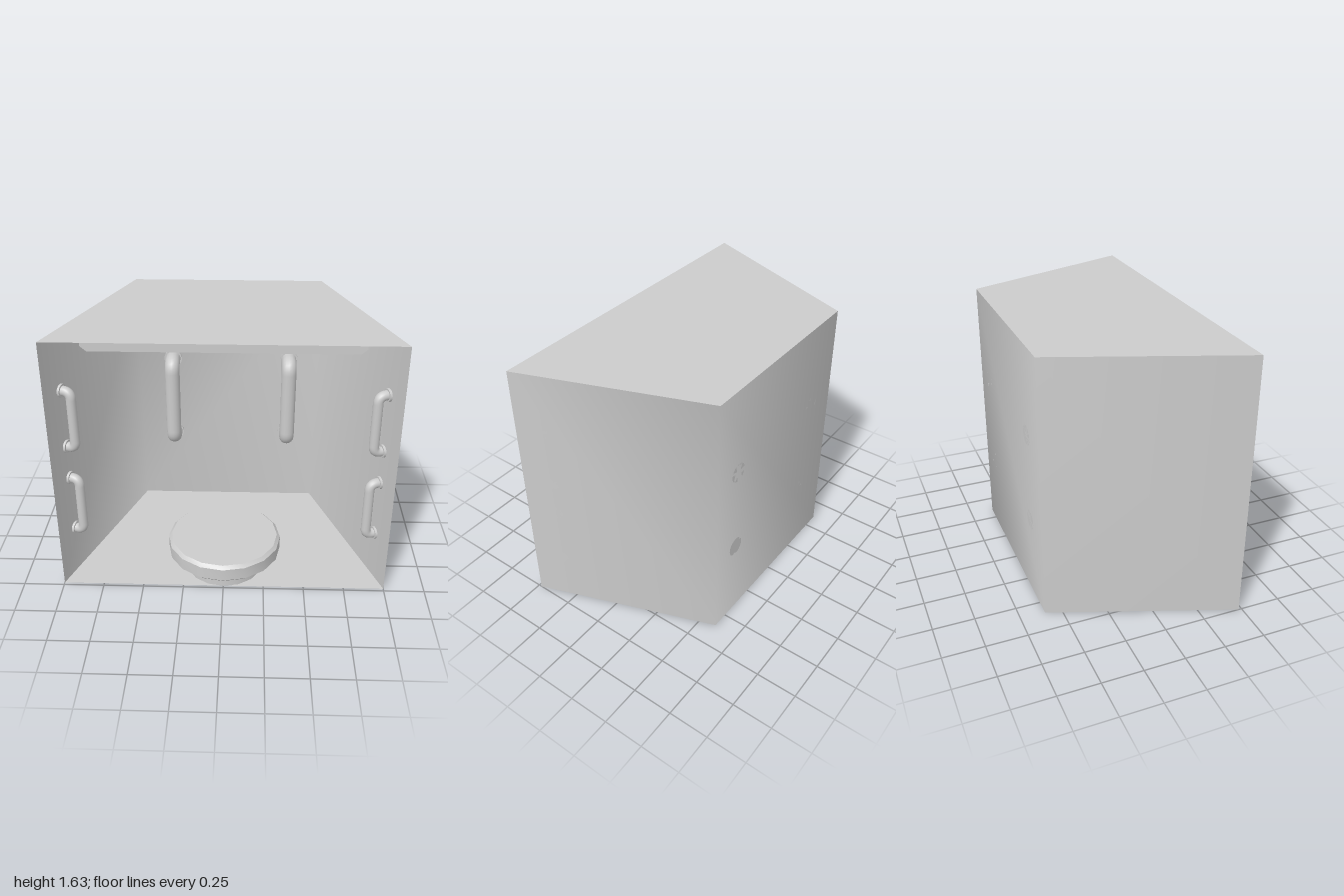
import * as THREE from 'three';
import { toCreasedNormals } from 'three/addons/utils/BufferGeometryUtils.js';

const H = 1.63, FRONT = 0.48, BACK = -0.6, WF = 1, WB = 0.6;
const grey = new THREE.MeshStandardMaterial({ color: 0xcccccc });
const thin = new THREE.MeshStandardMaterial({ color: 0xcccccc, side: THREE.DoubleSide });

function part(name, geometry, material = grey) {
  const mesh = new THREE.Mesh(geometry, material);
  mesh.name = name;
  return mesh;
}

// Plan corners from front left round the back to front right
const plan = [[WF, FRONT], [WB, BACK], [-WB, BACK], [-WF, FRONT]];

// Three walls as one smooth-shaded strip, open at the front
function wallGeometry() {
  const pos = [], idx = [];
  plan.forEach(([x, z], i) => {
    pos.push(x, 0, z, x, H, z);
    const a = i * 2;
    if (i < 3) idx.push(a, a + 2, a + 1, a + 1, a + 2, a + 3);
  });
  const g = new THREE.BufferGeometry();
  g.setAttribute('position', new THREE.Float32BufferAttribute(pos, 3));
  g.setIndex(idx);
  g.computeVertexNormals();
  return g;
}

// Flat sheet in the plan of the room; facing up
function slabGeometry() {
  const shape = new THREE.Shape(plan.map(([x, z]) => new THREE.Vector2(x, -z)));
  return new THREE.ShapeGeometry(shape).rotateX(-Math.PI / 2);
}

// Grab handle standing off a wall along +z, centred on its own origin
function handle(name, length, standoff, radius, flangeRadius, bend) {
  const group = new THREE.Group();
  group.name = name;
  const h = length / 2;
  const v = (y, z) => new THREE.Vector3(0, y, z);
  const path = new THREE.CurvePath();
  path.add(new THREE.LineCurve3(v(h, 0), v(h, standoff - bend)));
  path.add(new THREE.QuadraticBezierCurve3(v(h, standoff - bend), v(h, standoff), v(h - bend, standoff)));
  path.add(new THREE.LineCurve3(v(h - bend, standoff), v(bend - h, standoff)));
  path.add(new THREE.QuadraticBezierCurve3(v(bend - h, standoff), v(-h, standoff), v(-h, standoff - bend)));
  path.add(new THREE.LineCurve3(v(-h, standoff - bend), v(-h, 0)));
  group.add(part('handleBar', new THREE.TubeGeometry(path, 64, radius, 16)));
  for (const s of [-1, 1]) {
    const flange = part('handleFlange', new THREE.CylinderGeometry(flangeRadius, flangeRadius, 0.014, 20));
    flange.rotation.x = Math.PI / 2;
    flange.position.set(0, s * h, 0.007);
    group.add(flange);
  }
  return group;
}

function lathe(points) {
  const g = new THREE.LatheGeometry(points.map(([r, y]) => new THREE.Vector2(r, y)), 16);
  return toCreasedNormals(g, 0.5);
}

export function createModel() {
  const model = new THREE.Group();
  model.name = 'compartment';

  // Shell
  model.add(part('walls', wallGeometry(), thin));
  model.add(part('floor', slabGeometry(), thin));
  const ceiling = part('ceiling', slabGeometry(), thin);
  ceiling.position.y = H;
  model.add(ceiling);

  // Ceiling panel with chamfered lower corners
  const profile = new THREE.Shape([
    [-0.78, H - 0.003], [-0.78, 1.59], [-0.745, 1.56], [0.745, 1.56], [0.78, 1.59], [0.78, H - 0.003],
  ].map(([x, y]) => new THREE.Vector2(x, y)));
  const panel = part('ceilingPanel', new THREE.ExtrudeGeometry(profile, { depth: 0.2, bevelEnabled: false }));
  panel.position.z = 0.23;
  model.add(panel);

  // Round seat on a pedestal
  const seat = new THREE.Group();
  seat.name = 'seat';
  seat.position.z = 0.24;
  seat.add(part('pedestal', lathe([[0, 0.002], [0.245, 0.002], [0.245, 0.11]])));
  seat.add(part('seatDisc', lathe([
    [0, 0.11], [0.33, 0.11], [0.355, 0.133], [0.355, 0.21], [0.335, 0.23], [0, 0.23],
  ])));
  model.add(seat);

  // Tall handles on the back wall
  for (const x of [-0.375, 0.41]) {
    const bar = handle('backHandle', 0.56, 0.11, 0.05, 0.06, 0.06);
    bar.position.set(x, 0.8, BACK);
    model.add(bar);
  }

  // Two short handles on each side wall, facing inward
  const z = 0.315;
  const wallX = WB + (WF - WB) * (z - BACK) / (FRONT - BACK);
  const angle = Math.atan2(FRONT - BACK, WF - WB);
  for (const side of [-1, 1]) {
    for (const y of [0.497, 1.083]) {
      const bar = handle('sideHandle', 0.367, 0.065, 0.03, 0.04, 0.045);
      bar.position.set(side * wallX, y, z);
      bar.rotation.y = -side * angle;
      model.add(bar);
    }
  }
  return model;
}
